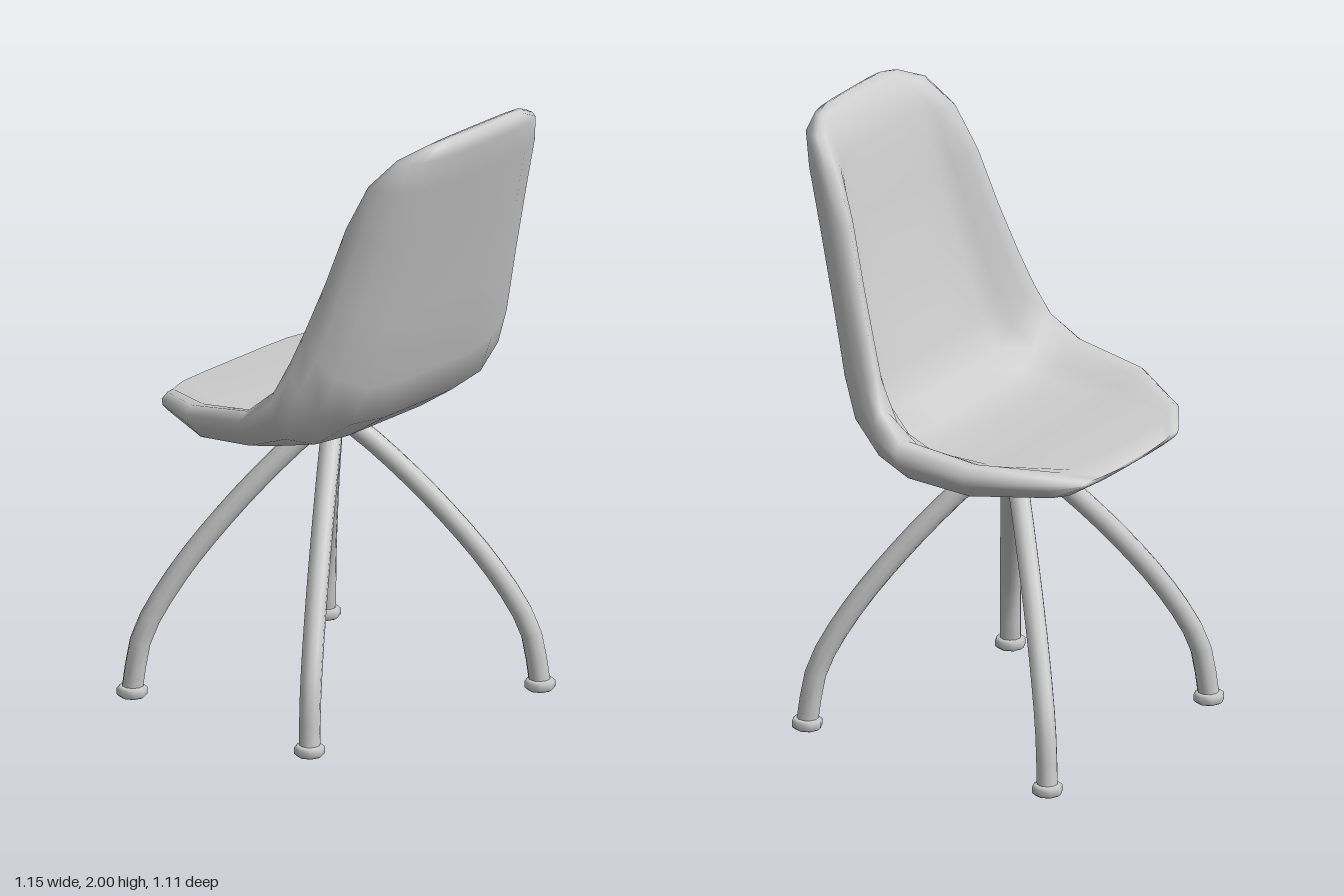
import * as THREE from 'three';

const material = new THREE.MeshStandardMaterial({ color: 0xcccccc, roughness: 0.7 });

// Shell stations from the seat's front lip to the top of the backrest:
// [outer y, outer z, inner y, inner z, rim half-width, rim y, rim z]
const stations = [
  [0.95, -0.51, 0.965, -0.515, 0.28, 0.965, -0.5],
  [0.905, -0.44, 1.0, -0.465, 0.405, 1.005, -0.425],
  [0.888, -0.2, 0.985, -0.2, 0.543, 1.045, -0.22],
  [0.905, 0.0, 0.99, 0.0, 0.565, 1.085, 0.02],
  [0.932, 0.14, 1.01, 0.1, 0.535, 1.16, 0.105],
  [1.02, 0.275, 1.07, 0.19, 0.5, 1.26, 0.145],
  [1.15, 0.335, 1.18, 0.24, 0.472, 1.37, 0.185],
  [1.4, 0.4, 1.41, 0.31, 0.438, 1.53, 0.24],
  [1.65, 0.47, 1.66, 0.375, 0.405, 1.71, 0.295],
  [1.85, 0.525, 1.86, 0.41, 0.373, 1.855, 0.36],
  [1.95, 0.552, 1.95, 0.45, 0.32, 1.945, 0.435],
  [1.982, 0.546, 1.988, 0.49, 0.235, 1.985, 0.49],
  [1.993, 0.532, 2.0, 0.517, 0.16, 1.998, 0.517],
];
// Half cross-section: [fraction of width, lift towards the rim]
const outerHalf = [[0, 0], [0.33, 0], [0.64, 0.07], [0.89, 0.3], [0.98, 0.62], [1, 0.85]];
const innerHalf = [[0.94, 1], [0.85, 0.86], [0.75, 0.45], [0.63, 0.11], [0.33, 0], [0, 0]];

function shellGeometry() {
  const half = [
    ...outerHalf.map(([a, b]) => [a, b, 0]),
    ...innerHalf.map(([a, b]) => [a, b, 1]),
  ];
  // Mirror the half section into a closed loop
  const mirrored = half.slice(1, -1).reverse().map(([a, b, s]) => [-a, b, s]);
  const section = [...half, ...mirrored];
  const n = section.length;
  const positions = [];
  const indices = [];
  const lerp = THREE.MathUtils.lerp;
  stations.forEach(([yo, zo, yi, zi, x, yr, zr]) => {
    for (const [a, b, inner] of section) {
      positions.push(a * x, lerp(inner ? yi : yo, yr, b), lerp(inner ? zi : zo, zr, b));
    }
  });
  for (let i = 0; i < stations.length - 1; i++) {
    for (let j = 0; j < n; j++) {
      const k = (j + 1) % n;
      const p = i * n + j, q = i * n + k, r = p + n, s = q + n;
      indices.push(p, q, r, q, s, r);
    }
  }
  // Close the narrow lip at each end
  const last = (stations.length - 1) * n;
  for (let j = 1; j < n - 1; j++) {
    indices.push(0, j + 1, j, last, last + j, last + j + 1);
  }
  const geometry = new THREE.BufferGeometry();
  geometry.setAttribute('position', new THREE.Float32BufferAttribute(positions, 3));
  geometry.setIndex(indices);
  geometry.computeVertexNormals();
  return geometry;
}

// Bent tube leg running from under the seat to a foot at (x, z)
const hub = { x: 0.015, z: -0.07 };
const legProfile = [[0, 0.92], [0.22, 0.8], [0.51, 0.61], [0.785, 0.39], [0.95, 0.2], [1, 0.02]];

function makeLeg(x, z) {
  const leg = new THREE.Group();
  leg.name = 'leg';
  const path = new THREE.CatmullRomCurve3(legProfile.map(([t, y]) => new THREE.Vector3(
    THREE.MathUtils.lerp(hub.x, x, t), y, THREE.MathUtils.lerp(hub.z, z, t))));
  const tube = new THREE.Mesh(new THREE.TubeGeometry(path, 14, 0.034, 10), material);
  tube.name = 'legTube';
  leg.add(tube);
  // Foot pad with softened edges
  const profile = [[0, 0], [0.04, 0], [0.049, 0.008], [0.049, 0.028], [0.04, 0.036], [0, 0.036]];
  const pad = new THREE.Mesh(
    new THREE.LatheGeometry(profile.map(([r, y]) => new THREE.Vector2(r, y)), 8), material);
  pad.name = 'footPad';
  pad.position.set(x, 0, z);
  leg.add(pad);
  return leg;
}

export function createModel() {
  const chair = new THREE.Group();
  chair.name = 'chair';
  const shell = new THREE.Mesh(shellGeometry(), material);
  shell.name = 'seatShell';
  shell.position.x = 0.006;
  chair.add(shell);
  const feet = [[-0.45, -0.505], [0.497, -0.498], [-0.527, 0.272], [0.404, 0.442]];
  feet.forEach(([x, z]) => chair.add(makeLeg(x, z)));
  return chair;
}
